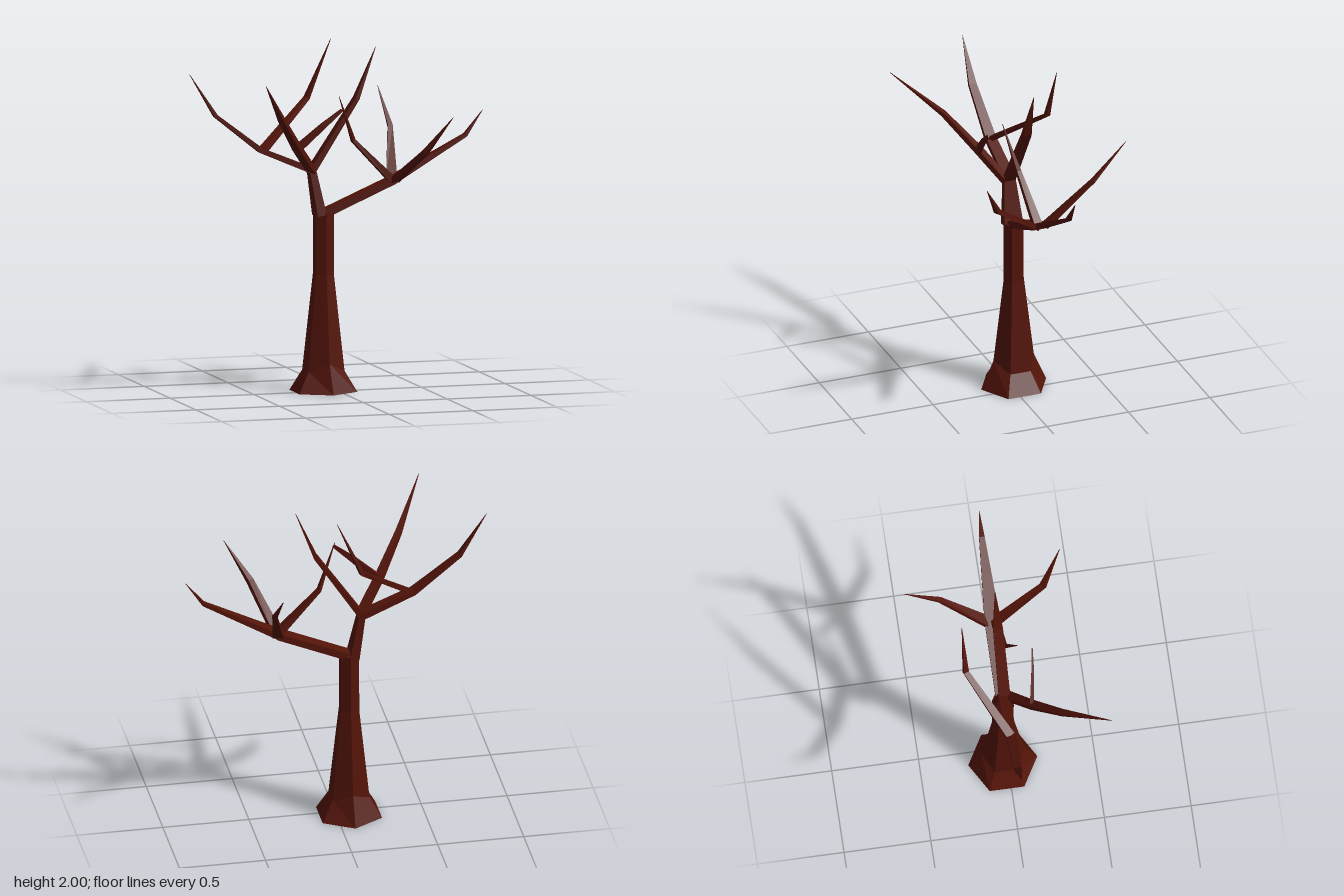
import * as THREE from 'three';

const bark = new THREE.MeshStandardMaterial({ color: 0x531409, flatShading: true });
const UP = new THREE.Vector3(0, 1, 0);

// Four-sided tapering limb. Each station is [x, y, z, half width, half height].
function limb(name, stations) {
  const pts = stations.map(s => new THREE.Vector3(s[0], s[1], s[2]));
  const last = pts.length - 1;
  const pos = [], idx = [];
  pts.forEach((p, i) => {
    const dir = new THREE.Vector3();
    if (i > 0) dir.add(p.clone().sub(pts[i - 1]).normalize());
    if (i < last) dir.add(pts[i + 1].clone().sub(p).normalize());
    dir.normalize();
    const side = UP.clone().cross(dir).normalize();
    const top = dir.clone().cross(side);
    const [w, h] = stations[i].slice(3);
    for (const [a, b] of [[-1, -1], [1, -1], [1, 1], [-1, 1]]) {
      const v = p.clone().addScaledVector(side, a * w).addScaledVector(top, b * h);
      pos.push(v.x, v.y, v.z);
    }
  });
  for (let i = 0; i < last; i++) {
    for (let k = 0; k < 4; k++) {
      const a = i * 4 + k, b = i * 4 + (k + 1) % 4;
      idx.push(a, b, b + 4, a, b + 4, a + 4);
    }
  }
  const e = last * 4;
  idx.push(0, 2, 1, 0, 3, 2, e, e + 1, e + 2, e, e + 2, e + 3);
  const geo = new THREE.BufferGeometry();
  geo.setAttribute('position', new THREE.Float32BufferAttribute(pos, 3));
  geo.setIndex(idx);
  geo.computeVertexNormals();
  const mesh = new THREE.Mesh(geo, bark);
  mesh.name = name;
  return mesh;
}

// Six-sided trunk with a flared foot
function trunk() {
  const profile = [[0, 0], [0.199, 0], [0.124, 0.12], [0.062, 0.67], [0.061, 1.03], [0, 1.045]];
  const geo = new THREE.LatheGeometry(profile.map(p => new THREE.Vector2(...p)), 6);
  const p = geo.attributes.position;
  // the front and back ridges of the foot rise a little higher
  for (let i = 0; i < p.count; i++) {
    if (Math.abs(p.getY(i) - 0.12) < 0.001 && Math.abs(p.getX(i)) < 0.01) p.setY(i, 0.17);
  }
  const mesh = new THREE.Mesh(geo, bark);
  mesh.position.set(-0.077, 0, -0.025);
  mesh.name = 'trunk';
  return mesh;
}

export function createModel() {
  const tree = new THREE.Group();
  tree.name = 'bareTree';
  tree.add(trunk());

  // Upper fork, above the trunk
  const upper = new THREE.Group();
  upper.name = 'upperFork';
  upper.add(
    limb('upperTrunk', [[-0.1, 1.015, -0.025, 0.058, 0.027], [-0.147, 1.27, -0.025, 0.034, 0.019]]),
    limb('uprightBranch', [[-0.15, 1.27, -0.025, 0.033, 0.018], [0.12, 1.68, -0.025, 0.028, 0.012], [0.235, 1.97, -0.025, 0.001, 0.001]]),
    limb('outerBranch', [[-0.145, 1.272, -0.028, 0.033, 0.018], [-0.45, 1.4, -0.028, 0.031, 0.015],
      [-0.72, 1.61, -0.028, 0.023, 0.01], [-0.875, 1.855, -0.028, 0.001, 0.001]]),
    limb('outerBackTwig', [[-0.435, 1.4, -0.035, 0.026, 0.015], [-0.11, 1.66, -0.243, 0.016, 0.012], [0.035, 1.995, -0.245, 0.001, 0.001]]),
    limb('frontBranch', [[-0.15, 1.27, -0.005, 0.027, 0.016], [-0.28, 1.43, 0.115, 0.025, 0.016],
      [-0.42, 1.62, 0.27, 0.018, 0.012], [-0.59, 1.85, 0.53, 0.001, 0.001]]),
    limb('frontTwig', [[-0.27, 1.425, 0.115, 0.011, 0.024], [-0.13, 1.55, 0.14, 0.008, 0.018], [-0.02, 1.64, 0.152, 0.004, 0.009]])
  );

  // Long side limb with its cluster of branches
  const sideLimb = new THREE.Group();
  sideLimb.name = 'sideLimb';
  sideLimb.add(
    limb('sideLimbArm', [[-0.075, 1.022, -0.025, 0.038, 0.022], [0.34, 1.2, -0.025, 0.045, 0.019]]),
    limb('endBranch', [[0.335, 1.199, -0.025, 0.045, 0.018], [0.77, 1.44, -0.025, 0.016, 0.01], [0.873, 1.58, -0.025, 0.001, 0.001]]),
    limb('endFrontBranch', [[0.34, 1.197, 0.0, 0.028, 0.015], [0.44, 1.395, 0.28, 0.018, 0.014], [0.57, 1.605, 0.395, 0.001, 0.001]]),
    limb('endBackBranch', [[0.34, 1.2, -0.055, 0.032, 0.014], [0.412, 1.47, -0.32, 0.014, 0.01], [0.4, 1.675, -0.525, 0.001, 0.001]]),
    limb('innerBranch', [[0.33, 1.2, -0.01, 0.025, 0.02], [0.09, 1.44, 0.012, 0.014, 0.01], [-0.012, 1.705, 0.07, 0.001, 0.001]])
  );

  tree.add(upper, sideLimb);
  return tree;
}
